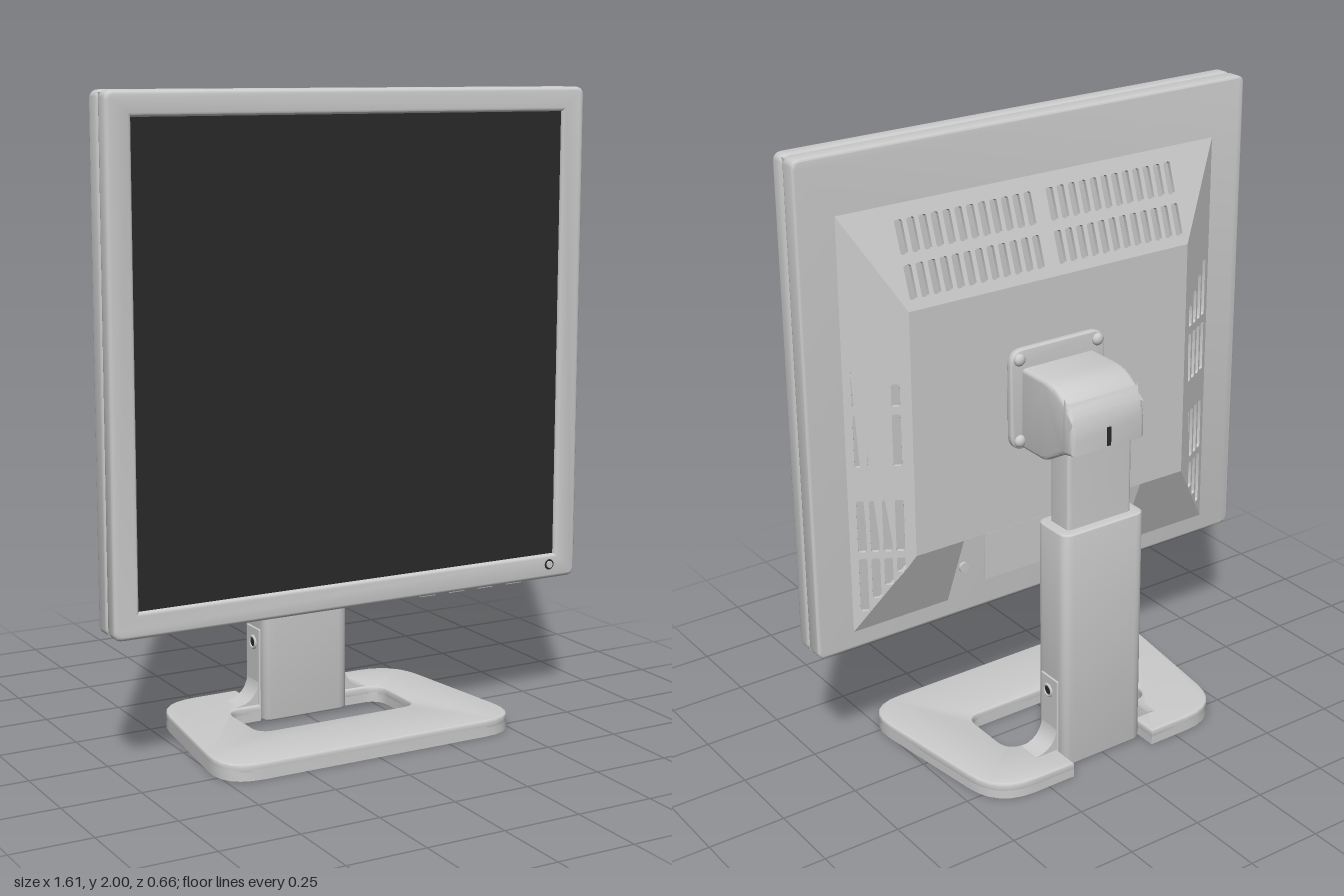
import * as THREE from 'three';
import { toCreasedNormals } from 'three/addons/utils/BufferGeometryUtils.js';
import { RoundedBoxGeometry } from 'three/addons/geometries/RoundedBoxGeometry.js';

const grey = new THREE.MeshStandardMaterial({ color: 0xcccccc });
const dark = new THREE.MeshStandardMaterial({ color: 0x2a2a2a });

export function createModel() {
  const model = new THREE.Group();

  function add(name, geometry, material = grey, parent = model) {
    const mesh = new THREE.Mesh(geometry, material);
    mesh.name = name;
    parent.add(mesh);
    return mesh;
  }
  function box(name, x0, x1, y0, y1, z0, z1, material, radius = 0) {
    const size = [x1 - x0, y1 - y0, z1 - z0];
    const g = radius ? new RoundedBoxGeometry(...size, 2, radius) : new THREE.BoxGeometry(...size);
    g.translate((x0 + x1) / 2, (y0 + y1) / 2, (z0 + z1) / 2);
    return add(name, g, material);
  }
  // Polygon of [x, y, cornerRadius]
  function roundPoly(pts, Type = THREE.Shape) {
    const s = new Type();
    const n = pts.length;
    const toward = (a, b, r) => {
      const d = Math.hypot(b[0] - a[0], b[1] - a[1]);
      return [a[0] + (b[0] - a[0]) * r / d, a[1] + (b[1] - a[1]) * r / d];
    };
    pts.forEach((p, i) => {
      const r = p[2] || 0;
      const a = toward(p, pts[(i + n - 1) % n], r);
      if (i) s.lineTo(...a); else s.moveTo(...a);
      if (r) s.quadraticCurveTo(p[0], p[1], ...toward(p, pts[(i + 1) % n], r));
    });
    s.closePath();
    return s;
  }
  const rect = (x0, x1, y0, y1, r, Type) =>
    roundPoly([[x0, y0, r], [x1, y0, r], [x1, y1, r], [x0, y1, r]], Type);
  // Extrusion from z0 to z1, bevel kept inside the outline
  function extrude(shape, z0, z1, bevel = 0) {
    const g = new THREE.ExtrudeGeometry(shape, {
      depth: z1 - z0 - 2 * bevel, curveSegments: 6, bevelEnabled: bevel > 0,
      bevelThickness: bevel, bevelSize: bevel, bevelOffset: -bevel, bevelSegments: 3,
    });
    return toCreasedNormals(g.translate(0, 0, z0 + bevel), 0.6);
  }
  // Plan shape (x, -z) raised from y0 to y1
  const slab = (shape, y0, y1, bevel) => extrude(shape, y0, y1, bevel).rotateX(-Math.PI / 2);
  // Side profile (z, y) extruded across x
  const across = (shape, x0, x1, bevel) => extrude(shape, -x1, -x0, bevel).rotateY(-Math.PI / 2);

  // Screen housing
  const front = rect(-0.805, 0.805, 0.44, 2, 0.03);
  front.holes.push(rect(-0.725, 0.725, 0.52, 1.925, 0, THREE.Path));
  add('frontBezel', extrude(front, 0.146, 0.2, 0.012));
  add('backShell', extrude(rect(-0.805, 0.805, 0.44, 2, 0.03), 0.085, 0.142, 0.008));
  box('housingSeam', -0.798, 0.798, 0.447, 1.993, 0.135, 0.155);
  box('screen', -0.74, 0.74, 0.505, 1.94, 0.15, 0.188, dark);
  const power = add('powerButton', new THREE.CylinderGeometry(0.011, 0.011, 0.01, 20).rotateX(Math.PI / 2));
  power.position.set(0.705, 0.487, 0.2);
  add('powerButtonRing', new THREE.TorusGeometry(0.014, 0.003, 6, 20), dark).position.set(0.705, 0.487, 0.2);
  for (let i = 0; i < 4; i++) {
    const x = 0.235 + i * 0.107;
    box('menuButton', x, x + 0.06, 0.431, 0.45, 0.145, 0.175, grey, 0.004);
  }

  // Sloped panels of the rear cover, thickness running inward
  const up = new THREE.Vector3(0, 1, 0), right = new THREE.Vector3(1, 0, 0);
  function panel(name, pts, holes, origin, u, v) {
    const shape = roundPoly(pts);
    shape.holes.push(...holes);
    const m = new THREE.Matrix4().makeBasis(u, v, u.clone().cross(v));
    m.setPosition(...origin);
    return add(name, extrude(shape, -0.012, 0).applyMatrix4(m));
  }
  const slot = (x0, x1, y0, y1) =>
    rect(Math.min(x0, x1), Math.max(x0, x1), y0, y1, 0.008, THREE.Path);

  const left = right.clone().negate();
  panel('rearPanel', [[-0.51, 0.75], [0.51, 0.75], [0.51, 1.53], [-0.51, 1.53]], [], [0, 0, -0.015], left, up);

  const topV = new THREE.Vector3(0, -0.29, -0.1), topL = topV.length();
  const topHoles = [];
  for (const s of [-1, 1]) for (let i = 0; i < 12; i++) for (const v of [0.045, 0.175]) {
    const x = s * (0.04 + i * 0.0405);
    topHoles.push(slot(x - 0.013, x + 0.013, v, v + 0.1));
  }
  panel('topVentPanel', [[-0.68, 0], [0.68, 0], [0.51, topL], [-0.51, topL]], topHoles,
    [0, 1.82, 0.085], right, topV.normalize());

  const lowV = new THREE.Vector3(0, 0.25, -0.1), lowL = lowV.length();
  lowV.normalize();
  for (const s of [-1, 1]) {
    const v = new THREE.Vector3(-0.17 * s, 0, -0.1), L = v.length();
    const holes = [];
    for (let k = 0; k < 4; k++) {
      const c = 0.037 + 0.038 * k;
      const rows = [[1.24, 1.43 - 0.04 * k], [1.05, 1.215], [0.77, 0.94], [0.57 + 0.043 * k, 0.748]];
      for (const [a, b] of rows) holes.push(slot(-s * a, -s * b, c - 0.013, c + 0.013));
    }
    panel('sideVentPanel', [[-s * 0.5, 0], [-s * 1.82, 0], [-s * 1.53, L], [-s * 0.75, L]], holes,
      [0.68 * s, 0, 0.085], up.clone().multiplyScalar(-s), v.normalize());
    panel('lowerPanel', [[s * 0.34, 0], [s * 0.68, 0], [s * 0.51, lowL], [s * 0.34, lowL]], [],
      [0, 0.5, 0.085], left, lowV);
    // Socket recess walls and screws
    const x = 0.346 * s;
    add('recessWall', across(roundPoly([[0.085, 0.5], [0.085, 0.75], [-0.015, 0.75]]), x - 0.006, x + 0.006));
    add('recessScrew', new THREE.CylinderGeometry(0.017, 0.017, 0.012, 16).rotateX(Math.PI / 2))
      .position.set(0.28 * s, 0.6, 0.082);
  }
  box('recessCeiling', -0.345, 0.345, 0.75, 0.762, -0.014, 0.085);
  box('ratingPlate', -0.2, 0.2, 0.53, 0.69, 0.082, 0.087);
  for (const [x, w] of [[0.18, 0.065], [0.01, 0.06], [-0.15, 0.06]]) {
    box('socketFrame', x - w, x + w, 0.738, 0.752, 0.015, 0.072, grey, 0.005);
    box('socketOpening', x - w * 0.7, x + w * 0.7, 0.735, 0.75, 0.027, 0.06, dark);
  }

  // Mounting plate
  add('mountPlate', extrude(rect(-0.175, 0.175, 1.01, 1.335, 0.05), -0.036, -0.012, 0.006));
  for (const x of [-0.145, 0.145]) for (const y of [1.04, 1.305]) {
    add('mountScrew', new THREE.SphereGeometry(0.02, 14, 8).scale(1, 1, 0.7)).position.set(x, y, -0.038);
  }

  // Tilting head, neck and column
  add('tiltHead', across(roundPoly([
    [-0.025, 1.01], [-0.145, 1.01, 0.02], [-0.24, 1.065, 0.02], [-0.29, 1.075],
    [-0.288, 1.18, 0.06], [-0.235, 1.272, 0.09], [-0.025, 1.272],
  ]), -0.135, 0.135, 0.014));
  box('headSlot', -0.007, 0.007, 1.08, 1.14, -0.2915, -0.27, dark);
  add('neck', slab(rect(-0.12, 0.12, 0.155, 0.25, 0.015), 0.7, 1.1));
  add('column', slab(rect(-0.153, 0.153, 0.13, 0.28, 0.035), 0.002, 0.815, 0.006));

  // Foot fillets and side plates of the column
  for (const s of [-1, 1]) {
    const f = new THREE.Shape();
    f.moveTo(s * 0.14, 0.045);
    f.lineTo(s * 0.24, 0.045);
    f.lineTo(s * 0.235, 0.053);
    f.quadraticCurveTo(s * 0.16, 0.06, s * 0.156, 0.14);
    f.lineTo(s * 0.14, 0.14);
    add('footFillet', extrude(f, -0.245, -0.165));
    const x = 0.15 * s;
    box('sidePlate', x - 0.008, x + 0.008, 0.045, 0.3, -0.248, -0.16, grey, 0.004);
    add('sidePlateHole', new THREE.CylinderGeometry(0.016, 0.016, 0.004, 20).rotateZ(Math.PI / 2), dark)
      .position.set(0.158 * s, 0.25, -0.2);
    add('sidePlateRing', new THREE.TorusGeometry(0.019, 0.005, 8, 20).rotateY(Math.PI / 2))
      .position.set(0.159 * s, 0.25, -0.2);
  }

  // Base: open ring plate with a rim and ribs underneath
  const half = [[0.155, 0.333], [0.155, 0.155], [0.28, 0.155, 0.06], [0.28, -0.08, 0.05]];
  const outer = [[0.525, -0.325, 0.14], [0.44, 0.333, 0.14]];
  const flip = (p) => [-p[0], p[1], p[2]];
  const outline = () => roundPoly([...half, ...half.map(flip).reverse(), ...outer.slice().reverse().map(flip), ...outer]);
  add('basePlate', slab(outline(), 0.022, 0.052, 0.006));

  function inset(points, w) {
    const p = points.filter((a, i) => a.distanceTo(points[(i + 1) % points.length]) > 1e-5);
    const sign = THREE.ShapeUtils.area(p) > 0 ? 1 : -1;
    return p.map((b, i) => {
      const a = p[(i + p.length - 1) % p.length], c = p[(i + 1) % p.length];
      const d1 = b.clone().sub(a).normalize(), d2 = c.clone().sub(b).normalize();
      const n = new THREE.Vector2(-d1.y - d2.y, d1.x + d2.x).multiplyScalar(sign);
      return b.clone().addScaledVector(n, w / (1 + d1.dot(d2)));
    });
  }
  const rim = outline();
  rim.holes.push(new THREE.Path(inset(outline().getPoints(6), 0.016)));
  add('baseRim', slab(rim, 0, 0.034));

  function rib(x0, z0, x1, z1) {
    const len = Math.hypot(x1 - x0, z1 - z0);
    const mesh = add('baseRib', new THREE.BoxGeometry(len, 0.026, 0.012));
    mesh.position.set((x0 + x1) / 2, 0.017, (z0 + z1) / 2);
    mesh.rotation.y = -Math.atan2(z1 - z0, x1 - x0);
  }
  for (const s of [-1, 1]) {
    rib(s * 0.27, 0.07, s * 0.45, 0.265);
    rib(s * 0.12, 0.08, s * 0.12, 0.32);
    rib(s * 0.28, -0.04, s * 0.47, -0.04);
    rib(s * 0.26, -0.14, s * 0.39, -0.28);
  }
  return model;
}
